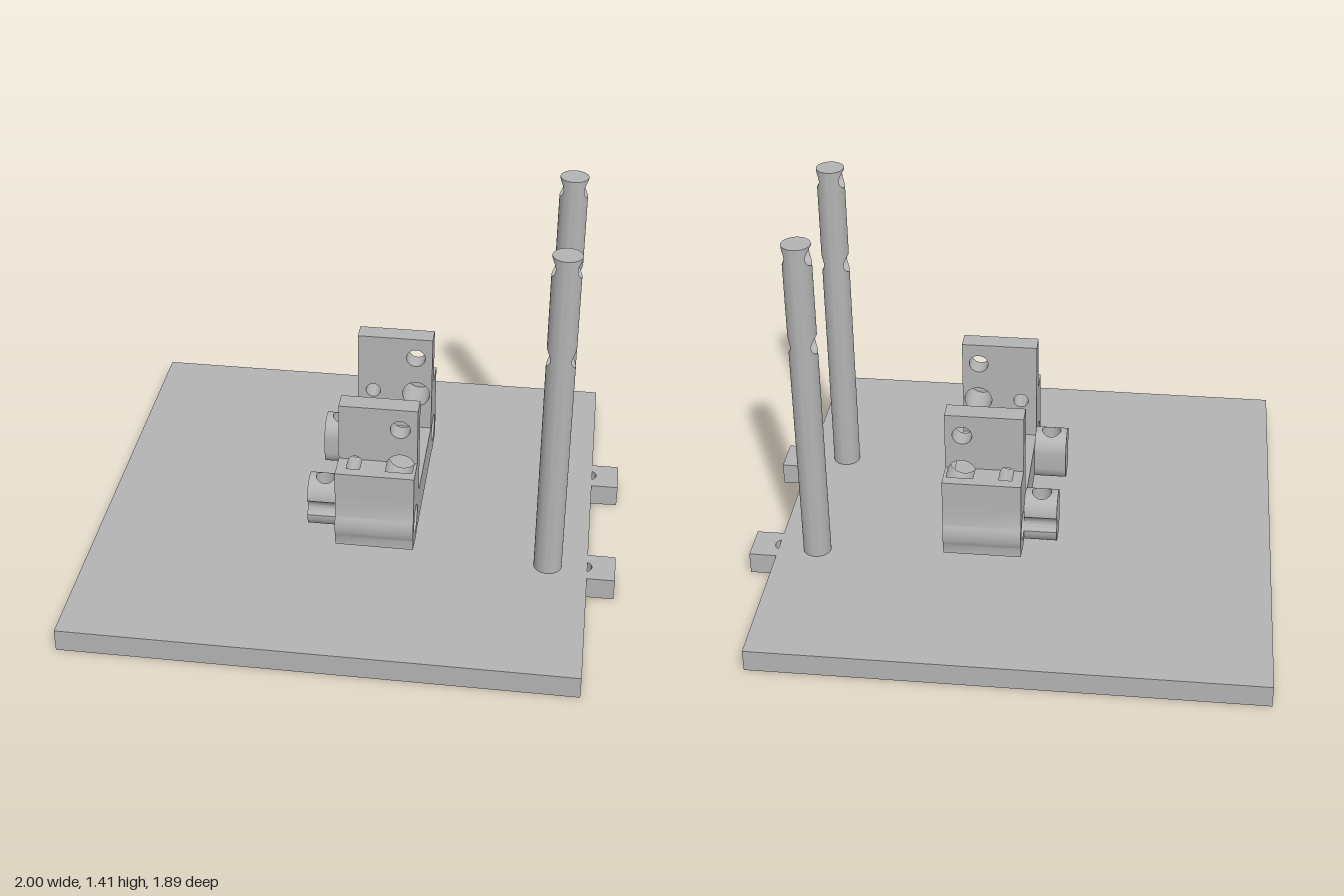
import * as THREE from 'three';
import { toCreasedNormals } from 'three/addons/utils/BufferGeometryUtils.js';

const grey = new THREE.MeshStandardMaterial({ color: 0xb3b3b3 });
grey.name = 'grey';

function extrude(shape, depth) {
  const g = new THREE.ExtrudeGeometry(shape, { depth, bevelEnabled: false, curveSegments: 32 });
  return toCreasedNormals(g, 0.6);
}

function circleHole(x, y, r) {
  const p = new THREE.Path();
  p.absarc(x, y, r, 0, Math.PI * 2, true);
  return p;
}

// Bar along y with round holes drilled along x. The section is a circle of radius R,
// stretched in x by +-flat; a groove of the given depth can run along its +z side.
function drilledBar(R, flat, length, holes, groove = 0) {
  const pos = [];
  const tri = (a, b, c) => pos.push(...a, ...b, ...c);
  const quad = (a, b, c, d, flip) => {
    if (flip) [b, d] = [d, b];
    tri(a, b, c);
    tri(a, c, d);
  };
  const outer = z => flat + Math.sqrt(Math.max(0, R * R - z * z));
  const inner = z => (groove && z > R - groove ? flat * Math.sqrt((z - R + groove) / groove) : 0);
  const half = (h, z) => Math.sqrt(Math.max(0, h.r * h.r - z * z));

  const zs = [];
  for (let i = 0; i <= 40; i++) zs.push(R * Math.sin(Math.PI * (i / 40 - 0.5)));
  for (const h of holes) {
    for (let i = 0; i <= 16; i++) zs.push(h.r * Math.sin(Math.PI * (i / 16 - 0.5)));
  }
  if (groove) zs.push(R - groove);
  zs.sort((a, b) => a - b);

  for (let j = 0; j < zs.length - 1; j++) {
    const p = zs[j], q = zs[j + 1];
    if (q - p < 1e-6) continue;
    const rows = z => [0, ...holes.flatMap(h => [h.y - half(h, z), h.y + half(h, z)]), length];
    const yp = rows(p), yq = rows(q);
    for (const s of [1, -1]) {
      const xp = s * outer(p), xq = s * outer(q), gp = s * inner(p), gq = s * inner(q);
      // outer skin between the holes
      for (let k = 0; k < yp.length; k += 2) {
        quad([xq, yq[k], q], [xp, yp[k], p], [xp, yp[k + 1], p], [xq, yq[k + 1], q], s < 0);
      }
      // hole linings and end caps
      for (let k = 0; k < yp.length; k++) {
        const lining = k > 0 && k < yp.length - 1;
        if (lining && yp[k] === yp[k % 2 ? k + 1 : k - 1] && yq[k] === yq[k % 2 ? k + 1 : k - 1]) continue;
        quad([gp, yp[k], p], [gq, yq[k], q], [xq, yq[k], q], [xp, yp[k], p], (k % 2 === 0) !== (s < 0));
      }
      // groove wall
      if (groove && q > R - groove + 1e-6) {
        quad([gq, 0, q], [gp, 0, p], [gp, length, p], [gq, length, q], s > 0);
      }
    }
  }
  // flat sides
  if (flat) {
    for (const s of groove ? [-1] : [1, -1]) {
      quad([-flat, 0, s * R], [flat, 0, s * R], [flat, length, s * R], [-flat, length, s * R], s < 0);
    }
  }
  const g = new THREE.BufferGeometry();
  g.setAttribute('position', new THREE.Float32BufferAttribute(pos, 3));
  return toCreasedNormals(g, 0.6);
}

export function createModel() {
  const model = new THREE.Group();
  const add = (name, geometry, x = 0, y = 0, z = 0, parent = model) => {
    const m = new THREE.Mesh(geometry, grey);
    m.name = name;
    m.position.set(x, y, z);
    parent.add(m);
    return m;
  };

  // Base plate with two notched tabs
  const baseH = 0.087;
  add('basePlate', new THREE.BoxGeometry(1.895, baseH, 1.89), -0.0525, baseH / 2, 0);
  const tab = new THREE.Shape();
  tab.moveTo(0.895, -0.073);
  tab.lineTo(1, -0.073);
  tab.lineTo(1, 0.073);
  tab.lineTo(0.895, 0.073);
  const notch = Math.acos(0.015 / 0.032);
  tab.absarc(0.88, 0, 0.032, notch, -notch, true);
  const tabGeo = extrude(tab, baseH).rotateX(-Math.PI / 2);

  // Tall posts, cross-drilled twice
  const postGeo = drilledBar(0.053, 0, 1.325, [{ y: 0.923, r: 0.037 }, { y: 1.283, r: 0.037 }]);

  // Knobs: obround bars along x with a vertical hole and a grooved outer side
  const knobGeo = drilledBar(0.072, 0.032, 0.125, [{ y: 0.0625, r: 0.037 }], 0.02)
    .translate(0, -0.0625, 0).rotateZ(-Math.PI / 2);

  for (const s of [1, -1]) {
    const side = s > 0 ? 'front' : 'back';
    add(side + 'Tab', tabGeo, 0, 0, s * 0.305);
    add(side + 'Post', postGeo, 0.745, baseH, s * 0.315);
    const knob = add(side + 'Knob', knobGeo, -0.1175, 0.243, s * 0.215);
    if (s < 0) knob.rotation.x = Math.PI;
  }

  // Round pedestal below the bracket
  add('pedestal', new THREE.CylinderGeometry(0.107, 0.107, 0.085, 48), 0.093, 0.1285, 0);

  // Bracket: lower U section with a bore and a bulge in each arm
  const bracket = new THREE.Group();
  bracket.name = 'bracket';
  model.add(bracket);
  const x0 = -0.055, x1 = 0.24, split = 0.4;
  const bore = { z: 0.315, y: 0.255, r: 0.097 };
  const a = Math.acos(0.085 / bore.r), down = -Math.PI / 2;
  const right = [];
  const arc = (from, to) => {
    for (let i = 0; i <= 12; i++) {
      const t = from + (to - from) * i / 12;
      right.push([bore.z + bore.r * Math.cos(t), bore.y + bore.r * Math.sin(t)]);
    }
  };
  arc(down - a, down + a);
  right.push([0.4, 0.17]);
  arc(-a, a);
  right.push([0.4, split], [0.22, split], [0.22, 0.315]);
  const left = right.map(([z, y]) => [-z, y]).reverse();
  const u = new THREE.Shape([...right, ...left].map(([z, y]) => new THREE.Vector2(z, y)));
  u.holes.push(circleHole(bore.z, bore.y, 0.055), circleHole(-bore.z, bore.y, 0.055));
  add('lowerBracket', extrude(u, x1 - x0).rotateY(-Math.PI / 2), x1, 0, 0, bracket);

  // Upper arm plates with three holes each
  const big = { x: 0.178, y: 0.47, r: 0.054 }, small = { x: 0.007, y: 0.475, r: 0.029 };
  const plate = new THREE.Shape();
  plate.moveTo(x0, split);
  plate.lineTo(x1, split);
  plate.lineTo(x1, 0.72);
  plate.lineTo(x0, 0.72);
  for (const h of [big, small, { x: 0.175, y: 0.635, r: 0.037 }]) plate.holes.push(circleHole(h.x, h.y, h.r));
  const plateGeo = extrude(plate, 0.075).translate(0, 0, -0.0375);

  // Outer shoulders, where the lower holes run on as open troughs
  const shoulderTop = 0.49;
  const shoulder = new THREE.Shape();
  shoulder.moveTo(x0, split);
  shoulder.lineTo(x1, split);
  shoulder.lineTo(x1, shoulderTop);
  for (const h of [big, small]) {
    const t = Math.asin((shoulderTop - h.y) / h.r);
    shoulder.absarc(h.x, h.y, h.r, t, Math.PI - t, true);
  }
  shoulder.lineTo(x0, shoulderTop);
  const shoulderGeo = extrude(shoulder, 0.065).translate(0, 0, -0.0325);
  const wallGeo = new THREE.BoxGeometry(x1 - x0, shoulderTop - split, 0.04);

  for (const s of [1, -1]) {
    const side = s > 0 ? 'front' : 'back';
    add(side + 'ArmPlate', plateGeo, 0, 0, s * 0.2575, bracket);
    add(side + 'Shoulder', shoulderGeo, 0, 0, s * 0.3275, bracket);
    add(side + 'ShoulderWall', wallGeo, (x0 + x1) / 2, (split + shoulderTop) / 2, s * 0.38, bracket);
  }
  return model;
}
